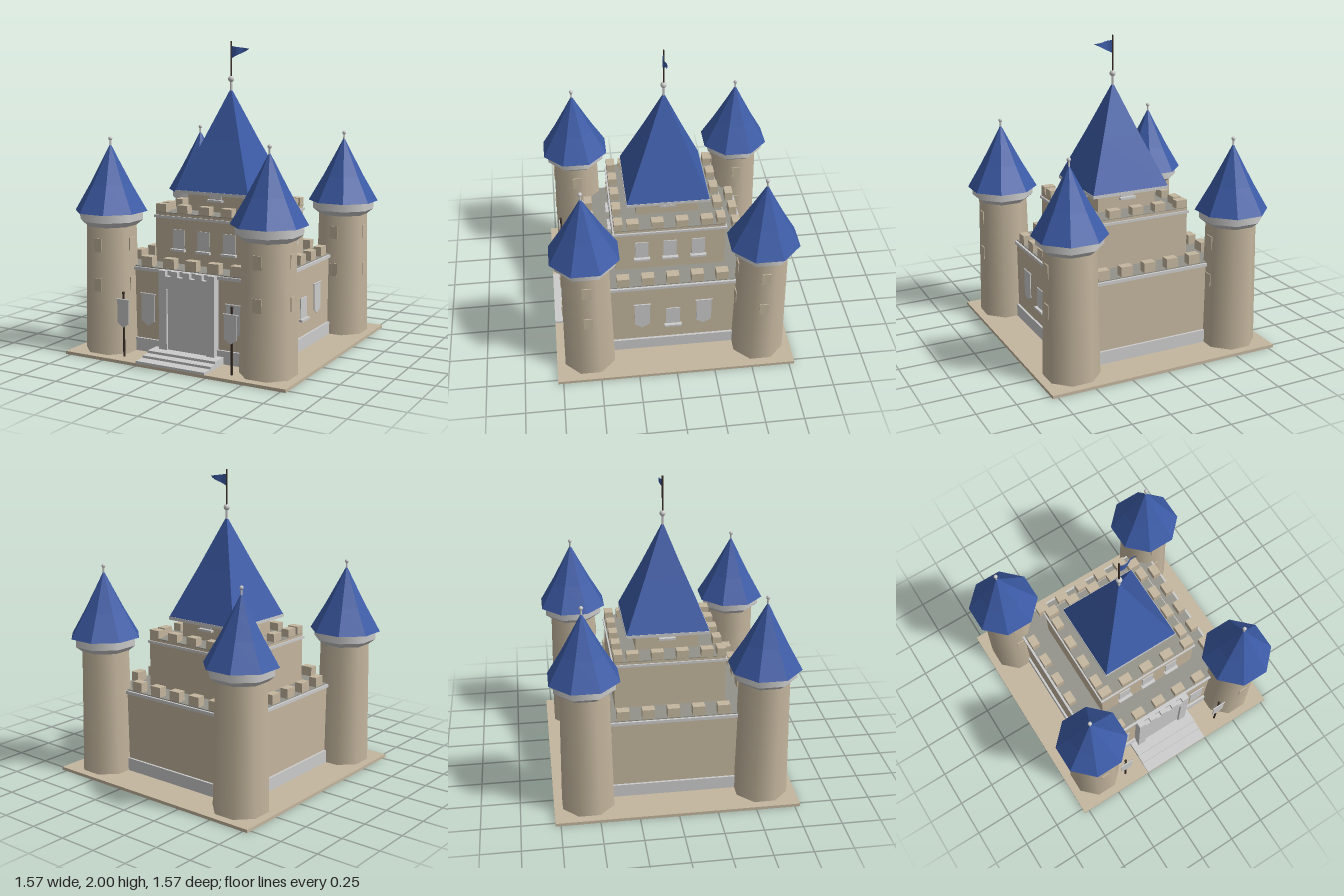
import * as THREE from 'three';

const mat = (color, extra = {}) => new THREE.MeshStandardMaterial({ color, ...extra });
const stone = mat(0xc4b69e);
const paving = mat(0x94938a);
const grey = mat(0xcccccc);
const wood = mat(0x3a2d26);
const blue = mat(0x3c5ba6, { flatShading: true });
const cloth = mat(0x3c5ba6, { side: THREE.DoubleSide });

function add(parent, name, geometry, material, x = 0, y = 0, z = 0) {
  const mesh = new THREE.Mesh(geometry, material);
  mesh.name = name;
  mesh.position.set(x, y, z);
  parent.add(mesh);
  return mesh;
}

// Box given by its bottom and top heights
function block(parent, name, material, w, y0, y1, d, x = 0, z = 0) {
  return add(parent, name, new THREE.BoxGeometry(w, y1 - y0, d), material, x, (y0 + y1) / 2, z);
}

// Many-sided turned part with its flats facing the axes; radii are measured to the flats
function turned(parent, name, material, sides, profile) {
  const k = 1 / Math.cos(Math.PI / sides);
  const points = profile.map(([r, y]) => new THREE.Vector2(r * k, y));
  return add(parent, name, new THREE.LatheGeometry(points, sides, Math.PI / sides), material);
}

function rod(parent, name, material, r, y0, y1, x = 0, z = 0) {
  return add(parent, name, new THREE.CylinderGeometry(r, r, y1 - y0, 8), material, x, (y0 + y1) / 2, z);
}

function ball(parent, name, r, y, x = 0, z = 0, material = grey) {
  return add(parent, name, new THREE.SphereGeometry(r, 12, 8), material, x, y, z);
}

// Four sides of a square group, numbered front, left (+x), back, right
function side(parent, name, i) {
  const g = new THREE.Group();
  g.name = name;
  g.rotation.y = i * Math.PI / 2;
  parent.add(g);
  return g;
}

// Window pane with a projecting sill, on a wall at depth z
function wallWindow(parent, x, y0, y1, w, z) {
  block(parent, 'windowPane', grey, w, y0, y1, 0.012, x, z);
  block(parent, 'windowSill', grey, w + 0.02, y0 - 0.016, y0 - 0.002, 0.05, x, z);
}

// Hanging banner with a pointed foot and a top rod
function banner(parent, x, top, w, h, z) {
  const s = new THREE.Shape();
  s.moveTo(-w / 2, 0);
  s.lineTo(-w / 2, -h * 0.84);
  s.lineTo(0, -h);
  s.lineTo(w / 2, -h * 0.84);
  s.lineTo(w / 2, 0);
  s.closePath();
  add(parent, 'banner', new THREE.ExtrudeGeometry(s, { depth: 0.006, bevelEnabled: false }), grey, x, top, z);
  const bar = new THREE.CylinderGeometry(0.005, 0.005, w + 0.015, 8).rotateZ(Math.PI / 2);
  add(parent, 'bannerRod', bar, grey, x, top, z + 0.003);
}

function cornerTower(parent, x, z) {
  const t = new THREE.Group();
  t.name = 'cornerTower';
  t.position.set(x, 0, z);
  parent.add(t);
  turned(t, 'towerShaft', stone, 8, [[0.165, 0.02], [0.15, 0.85]]);
  turned(t, 'towerCorbel', grey, 8, [[0.15, 0.835], [0.19, 0.87]]);
  turned(t, 'towerCollar', grey, 8, [[0.19, 0.87], [0.19, 0.93]]);
  turned(t, 'towerRoof', blue, 8, [[0, 0.925], [0.217, 0.925], [0.126, 1.095], [0.055, 1.24], [0.003, 1.35]]);
  rod(t, 'towerFinialRod', grey, 0.006, 1.33, 1.385);
  ball(t, 'towerFinial', 0.013, 1.387);
  for (const i of [0, 1]) {
    const s = side(t, 'towerWindows', i);
    block(s, 'towerWindow', stone, 0.058, 0.425, 0.51, 0.02, 0, 0.152);
    block(s, 'towerWindow', stone, 0.058, 0.68, 0.765, 0.02, 0, 0.148);
  }
}

function gatehouse(parent) {
  const g = new THREE.Group();
  g.name = 'gatehouse';
  parent.add(g);
  block(g, 'gateBody', grey, 0.4, 0.02, 0.54, 0.06, 0, 0.54);
  // Front frame around the recessed door
  const s = new THREE.Shape();
  const outline = [[-0.2, 0.02], [-0.143, 0.02], [-0.143, 0.46], [0.143, 0.46],
    [0.143, 0.02], [0.2, 0.02], [0.2, 0.54], [-0.2, 0.54]];
  s.setFromPoints(outline.map(([x, y]) => new THREE.Vector2(x, y)));
  add(g, 'gateFrame', new THREE.ExtrudeGeometry(s, { depth: 0.015, bevelEnabled: false }), grey, 0, 0, 0.57);
  for (let i = -2; i <= 2; i++) {
    block(g, 'gateMerlon', grey, 0.05, 0.54, 0.575, 0.03, i * 0.0875, 0.57);
  }
  block(g, 'gateParapet', grey, 0.4, 0.54, 0.572, 0.025, 0, 0.5425);
  // Entrance steps
  [[0.785, 0.035], [0.71, 0.05], [0.65, 0.066]].forEach(([front, top]) =>
    block(g, 'step', grey, 0.49, 0.015, top, front - 0.54, 0, (front + 0.54) / 2));
}

export function createModel() {
  const castle = new THREE.Group();
  castle.name = 'castle';

  block(castle, 'base', stone, 1.57, 0, 0.02, 1.57);

  // Curtain wall
  block(castle, 'plinth', grey, 1.09, 0.02, 0.105, 1.09);
  block(castle, 'curtainWall', stone, 1.06, 0.1, 0.57, 1.06);
  block(castle, 'wallStringCourse', grey, 1.09, 0.55, 0.57, 1.09);
  block(castle, 'wallWalk', paving, 1.06, 0.57, 0.576, 1.06);

  // Keep and its upper storey
  block(castle, 'keep', stone, 0.72, 0.57, 0.9, 0.72);
  block(castle, 'keepStringCourse', grey, 0.74, 0.868, 0.884, 0.74);
  block(castle, 'keepDeck', paving, 0.72, 0.9, 0.905, 0.72);
  block(castle, 'upperStorey', stone, 0.41, 0.9, 1.03, 0.41);

  for (let i = 0; i < 4; i++) {
    const s = side(castle, 'battlements', i);
    for (let j = -2; j <= 2; j++) {
      block(s, 'wallMerlon', stone, 0.08, 0.57, 0.64, 0.056, j * 0.161, 0.501);
    }
    // Front and back rows own the corners; the other two sit between them
    for (const x of i % 2 ? [-0.24, -0.08, 0.08, 0.24] : [-0.321, -0.161, 0, 0.161, 0.321]) {
      block(s, 'keepMerlon', stone, 0.078, 0.9, 0.957, 0.056, x, 0.332);
    }
    wallWindow(s, 0, 0.988, 1.02, 0.09, 0.205);
  }

  // Windows of the keep on the front and left
  for (const i of [0, 1]) {
    const s = side(castle, 'keepWindows', i);
    for (const x of [-0.185, 0, 0.185]) wallWindow(s, x, 0.675, 0.8, 0.085, 0.36);
  }

  // Banners and window of the curtain wall
  for (const m of [-1, 1]) banner(castle, m * 0.31, 0.4, 0.1, 0.21, 0.535);
  const leftWall = side(castle, 'leftWallDetails', 1);
  for (const m of [-1, 1]) banner(leftWall, m * 0.205, 0.415, 0.1, 0.205, 0.535);
  wallWindow(leftWall, 0, 0.225, 0.36, 0.095, 0.53);

  // Spire, finial and flag
  block(castle, 'spireEaves', grey, 0.54, 1.02, 1.04, 0.54);
  turned(castle, 'spireRoof', blue, 4, [[0.268, 1.038], [0.132, 1.365], [0.003, 1.69]]);
  rod(castle, 'spireRod', grey, 0.008, 1.67, 1.75);
  ball(castle, 'spireFinial', 0.02, 1.755);
  rod(castle, 'flagPole', wood, 0.005, 1.76, 2);
  const flag = new THREE.PlaneGeometry(1, 1, 10, 1);
  const p = flag.attributes.position;
  for (let i = 0; i < p.count; i++) {
    const u = p.getX(i) + 0.5, v = p.getY(i) + 0.5;
    const low = 1.885 + 0.063 * u, high = 1.968 - 0.018 * u;
    p.setXYZ(i, u * 0.13, low + (high - low) * v, 0.011 * Math.sin(u * Math.PI * 2));
  }
  flag.computeVertexNormals();
  add(castle, 'flag', flag, cloth);

  gatehouse(castle);

  // Standing banner poles beside the steps
  for (const m of [-1, 1]) {
    rod(castle, 'bannerPole', wood, 0.007, 0.02, 0.43, m * 0.388, 0.7);
    ball(castle, 'bannerPoleFinial', 0.01, 0.432, m * 0.388, 0.7, wood);
    banner(castle, m * 0.385, 0.39, 0.085, 0.18, 0.707);
  }

  for (const x of [-0.565, 0.565]) {
    for (const z of [-0.565, 0.565]) cornerTower(castle, x, z);
  }
  return castle;
}
